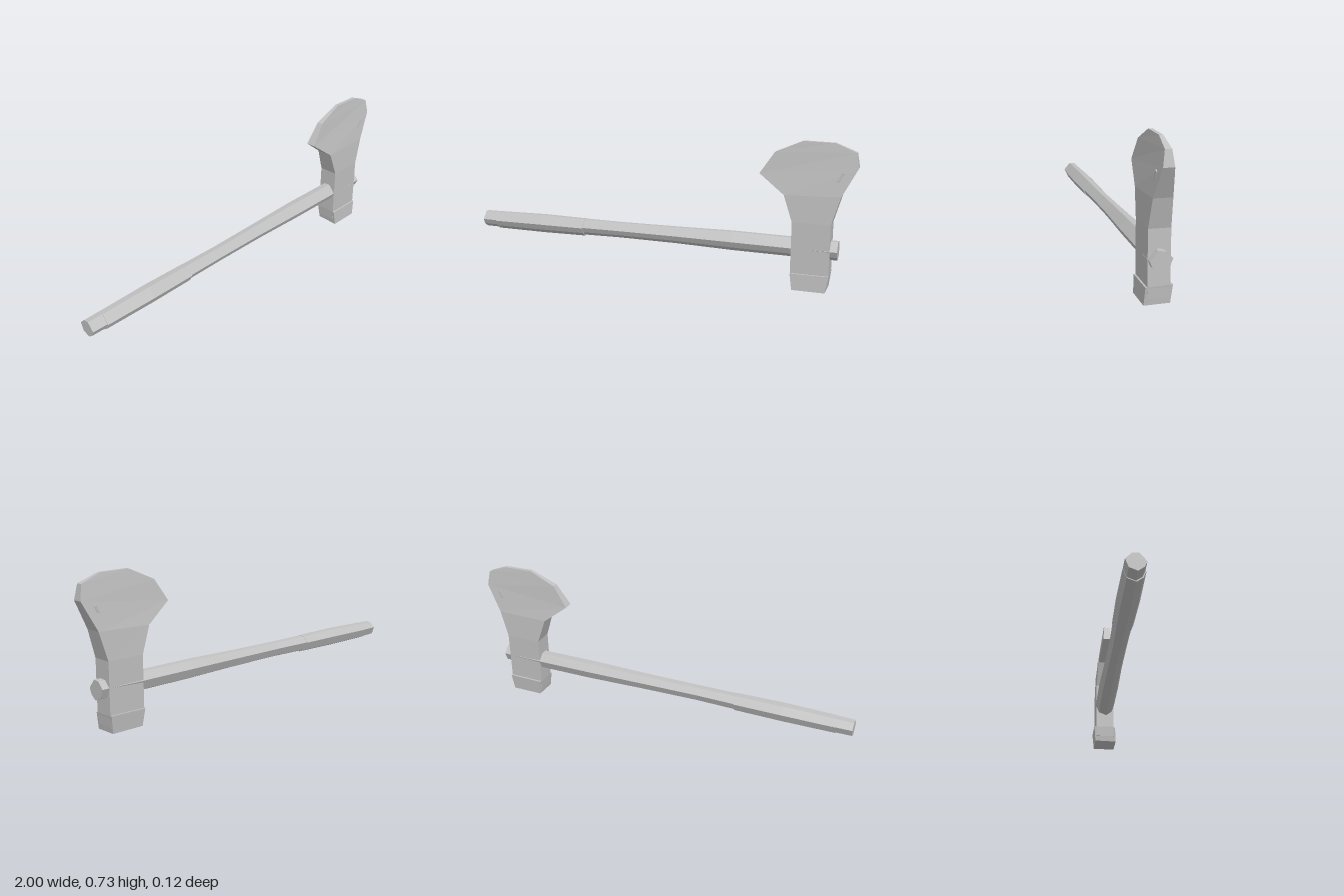
import * as THREE from 'three';

// Skin a list of equal-length rings (counter-clockwise seen from the last ring) with flat faces and capped ends
function loft(rings) {
  const n = rings[0].length;
  const positions = [];
  const tri = (a, b, c) => positions.push(...a, ...b, ...c);
  for (let r = 0; r < rings.length - 1; r++) {
    const a = rings[r], b = rings[r + 1];
    for (let i = 0; i < n; i++) {
      const j = (i + 1) % n;
      tri(a[i], a[j], b[j]);
      tri(a[i], b[j], b[i]);
    }
  }
  const first = rings[0], last = rings[rings.length - 1];
  for (let i = 1; i < n - 1; i++) {
    tri(first[0], first[i + 1], first[i]);
    tri(last[0], last[i], last[i + 1]);
  }
  const geometry = new THREE.BufferGeometry();
  geometry.setAttribute('position', new THREE.Float32BufferAttribute(positions, 3));
  geometry.computeVertexNormals();
  return geometry;
}

// Uneven seven-sided handle section as [z, y] offsets from the axis
const SECTION = [
  [0.053, 0.003], [0.04, -0.027], [0.01, -0.049], [-0.033, -0.032],
  [-0.051, 0.013], [-0.018, 0.045], [0.015, 0.048],
];

// Stations along x: [x, centre y, centre z, scale]
const shaft = (stations) => loft(stations.map(([x, y, z, s]) =>
  SECTION.map(([dz, dy]) => [x, y + dy * s, z + dz * s])));

// Four-cornered section: left x and y, right x and y, half thickness
const slab = ([xl, yl, xr, yr, h]) => [[xl, yl, h], [xr, yr, h], [xr, yr, -h], [xl, yl, -h]];

export function createModel() {
  const model = new THREE.Group();
  model.name = 'axe';
  const grey = new THREE.MeshStandardMaterial({ color: 0xc0c0c0 });
  grey.name = 'grey';

  const add = (name, geometry) => {
    const mesh = new THREE.Mesh(geometry, grey);
    mesh.name = name;
    model.add(mesh);
    return mesh;
  };

  // Long handle with a gentle swell, passing through the head
  add('handle', shaft([
    [-1, 0.202, -0.005, 0.86],
    [-0.92, 0.202, -0.005, 0.88],
    [-0.65, 0.203, -0.005, 0.93],
    [-0.2, 0.205, -0.003, 0.83],
    [0.1, 0.205, -0.005, 0.88],
    [0.4, 0.204, -0.005, 1],
    [0.7, 0.202, -0.003, 0.99],
    [0.92, 0.202, 0, 0.97],
  ]));

  // Slightly thicker grip sleeve
  add('grip', shaft([
    [-0.92, 0.2, -0.003, 0.93],
    [-0.65, 0.202, -0.003, 1],
    [-0.405, 0.202, -0.003, 0.94],
  ]));

  // Head: straight poll, narrow neck and flared blade thinning to the edge
  add('head', loft([
    [0.705, 0.03, 0.88, 0.03, 0.049],
    [0.7, 0.085, 0.885, 0.085, 0.05],
    [0.7, 0.335, 0.885, 0.335, 0.05],
    [0.655, 0.465, 0.925, 0.472, 0.043],
    [0.53, 0.56, 0.997, 0.61, 0.025],
    [0.6, 0.665, 0.985, 0.682, 0.015],
    [0.735, 0.725, 0.885, 0.722, 0.009],
  ].map(slab)));

  // Slightly crooked hammer block around the bottom of the head
  add('hammerFace', loft([
    [[0.712, 0, 0.063], [0.873, 0, 0.063], [0.876, 0.004, -0.053], [0.714, 0.004, -0.053]],
    [[0.7, 0.081, 0.058], [0.885, 0.082, 0.058], [0.886, 0.089, -0.061], [0.702, 0.087, -0.061]],
  ]));

  // Small raised rib near the front corner of the blade
  const rib = add('bladeRib', new THREE.BoxGeometry(0.012, 0.075, 0.066));
  rib.position.set(0.912, 0.552, 0.001);
  rib.rotation.z = -0.45;

  return model;
}
